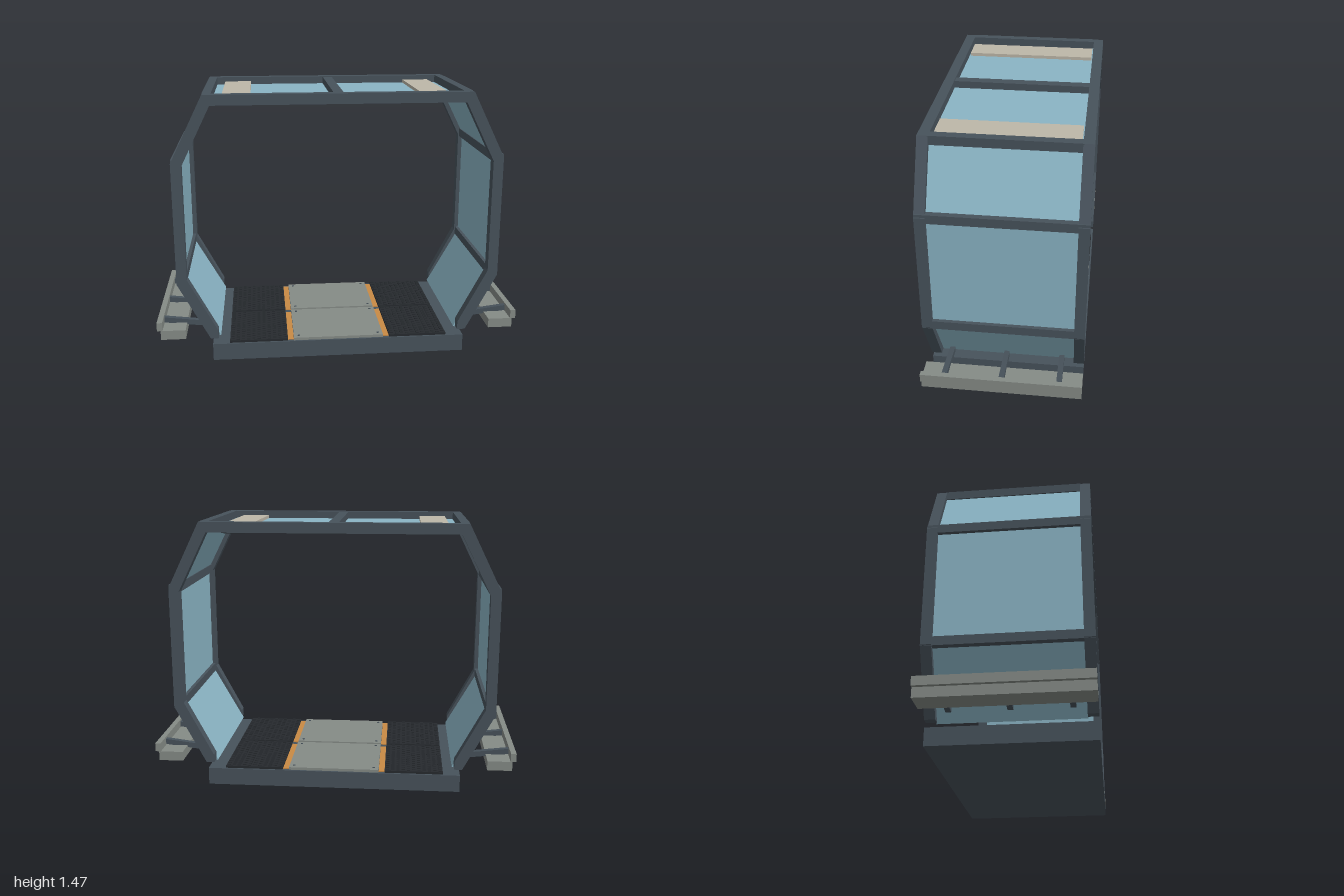
import * as THREE from 'three';
import { mergeGeometries } from 'three/addons/utils/BufferGeometryUtils.js';

const mat = (name, color) => {
  const m = new THREE.MeshStandardMaterial({ color });
  m.name = name;
  return m;
};

export function createModel() {
  const model = new THREE.Group();
  model.name = 'walkwaySection';
  const frame = mat('slateFrame', 0x47525b);
  const glass = mat('blueGlass', 0x8ab4c4);
  const grey = mat('greyMetal', 0x858b86);
  const beige = mat('beigePanel', 0xbdb7a8);
  const dark = mat('darkTread', 0x262a2e);
  const amber = mat('amberLight', 0xc98a45);

  const add = (name, geometry, material) => {
    const mesh = new THREE.Mesh(geometry, material);
    mesh.name = name;
    model.add(mesh);
    return mesh;
  };
  // Box given by its limits on each axis
  const box = (name, material, x0, x1, y0, y1, z0, z1) => {
    const mesh = add(name, new THREE.BoxGeometry(x1 - x0, y1 - y0, z1 - z0), material);
    mesh.position.set((x0 + x1) / 2, (y0 + y1) / 2, (z0 + z1) / 2);
    return mesh;
  };
  // Box laid along a line in the x-y plane
  const bar = (name, material, [ax, ay], [bx, by], thick, depth, z = 0) => {
    const mesh = add(name, new THREE.BoxGeometry(Math.hypot(bx - ax, by - ay), thick, depth), material);
    mesh.position.set((ax + bx) / 2, (ay + by) / 2, z);
    mesh.rotation.z = Math.atan2(by - ay, bx - ax);
    return mesh;
  };
  // Mirrored box, s = 1 or -1
  const sideBox = (name, material, s, x0, x1, ...rest) =>
    box(name, material, Math.min(s * x0, s * x1), Math.max(s * x0, s * x1), ...rest);

  // Base slab
  box('base', frame, -0.7, 0.7, 0, 0.095, -0.42, 0.42);

  // Arched end frames, open at the bottom
  const outer = [[0.71, 0.13], [0.88, 0.45], [0.88, 1.115], [0.705, 1.467]];
  const inner = [[0.667, 1.412], [0.825, 1.095], [0.825, 0.475], [0.667, 0.175], [0.667, 0.13]];
  const mirror = (pts) => pts.map(([x, y]) => [-x, y]).reverse();
  const outline = [...outer, ...mirror(outer), ...mirror(inner), ...inner];
  // Reorder so the inner edge runs back from left to right
  const half = outer.length * 2;
  const path = [...outline.slice(0, half), ...mirror(inner), ...inner.slice()];
  const archShape = new THREE.Shape(path.map(([x, y]) => new THREE.Vector2(x, y)));
  const archGeometry = new THREE.ExtrudeGeometry(archShape, { depth: 0.055, bevelEnabled: false });
  add('frontArch', archGeometry, frame).position.z = 0.365;
  add('backArch', archGeometry, frame).position.z = -0.42;

  // Roof centre bar
  box('roofCentreBar', frame, -0.027, 0.027, 1.423, 1.463, -0.37, 0.37);

  // Raised studs for one tread tile, in staggered rows
  const studs = [];
  for (let i = 0; i < 11; i++) {
    for (let j = 0; j < 13; j++) {
      const g = new THREE.BoxGeometry(0.018, 0.006, 0.014);
      g.translate(-0.145 + i * 0.029, 0.11, -0.186 + j * 0.03 + (i % 2) * 0.012);
      studs.push(g);
    }
  }
  const studGeometry = mergeGeometries(studs);

  for (const s of [1, -1]) {
    // Cross bars joining the arches
    sideBox('roofCornerBar', frame, s, 0.66, 0.707, 1.42, 1.468, -0.37, 0.37);
    sideBox('upperSideBar', frame, s, 0.83, 0.878, 1.086, 1.134, -0.42, 0.42);
    sideBox('lowerSideBar', frame, s, 0.83, 0.878, 0.444, 0.492, -0.42, 0.42);

    // Glass panes
    bar('lowerPane', glass, [s * 0.85, 0.465], [s * 0.66, 0.125], 0.009, 0.735);
    bar('middlePane', glass, [s * 0.853, 0.46], [s * 0.853, 1.11], 0.009, 0.735);
    bar('upperPane', glass, [s * 0.853, 1.11], [s * 0.685, 1.44], 0.009, 0.735);
    sideBox('roofPane', glass, s, 0.003, 0.68, 1.416, 1.425, -0.368, 0.368);

    // Ceiling lamps
    sideBox('lampHousing', beige, s, 0.46, 0.612, 1.411, 1.443, -0.358, 0.358);
    sideBox('lampRim', dark, s, 0.475, 0.602, 1.401, 1.411, -0.34, 0.34);
    sideBox('lampLens', amber, s, 0.492, 0.585, 1.398, 1.401, -0.315, 0.315);

    // Outer side rail and its arms
    sideBox('railStep', grey, s, 0.845, 0.98, 0.133, 0.185, -0.42, 0.42);
    sideBox('railLip', grey, s, 0.97, 1, 0.185, 0.232, -0.42, 0.42);
    for (const z of [-0.3, 0, 0.3]) {
      bar('railArm', frame, [s * 0.72, 0.174], [s * 0.972, 0.205], 0.03, 0.028, z);
    }

    // Floor tiles, s picks the front or back row
    const z0 = Math.min(s * 0.01, s * 0.41), z1 = z0 + 0.4;
    box('floorPlate', grey, -0.253, 0.247, 0.095, 0.11, z0, z1);
    for (const x of [-0.225, 0.22]) {
      for (const z of [z0 + 0.03, z1 - 0.03]) {
        const bolt = add('plateBolt', new THREE.CylinderGeometry(0.007, 0.007, 0.004, 8), frame);
        bolt.position.set(x, 0.111, z);
      }
    }
    for (const x of [-0.447, 0.443]) {
      box('treadTile', dark, x - 0.16, x + 0.16, 0.095, 0.108, z0, z1);
      add('treadStuds', studGeometry, dark).position.set(x, 0, (z0 + z1) / 2);
    }
    for (const x of [-0.27, 0.265]) {
      box('floorLightStrip', amber, x - 0.016, x + 0.016, 0.094, 0.1, z0 + 0.01, z1 - 0.01);
    }
  }
  return model;
}
